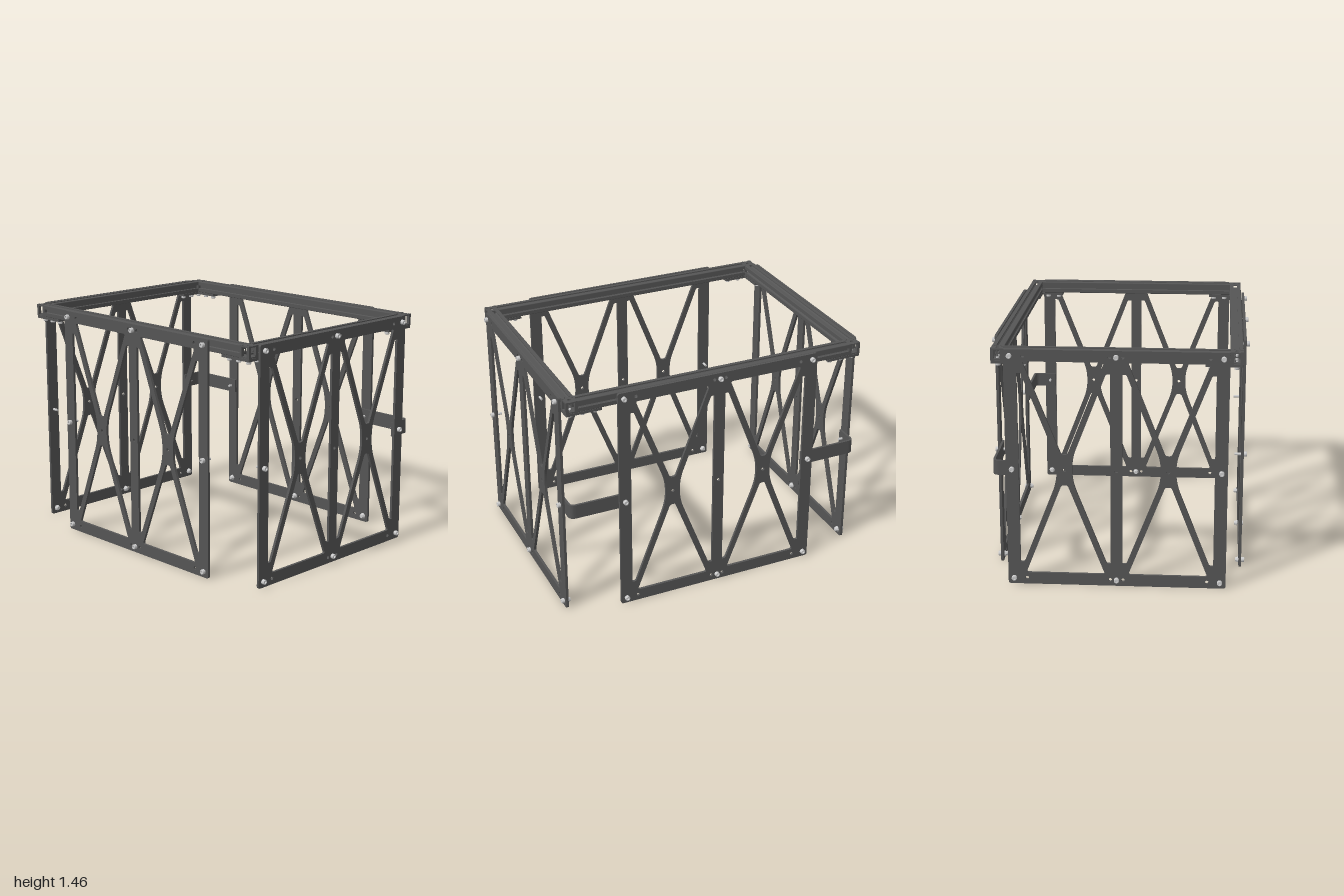
import * as THREE from 'three';

const dark = new THREE.MeshStandardMaterial({ color: 0x555555 });
const steel = new THREE.MeshStandardMaterial({ color: 0xcccccc });
const S = 0.074;                       // rail section size
const RAIL_Y = 1.42, CX = 0.925, CZ = 0.691;

function add(parent, name, geometry, material = dark, x = 0, y = 0, z = 0) {
  const mesh = new THREE.Mesh(geometry, material);
  mesh.name = name;
  mesh.position.set(x, y, z);
  parent.add(mesh);
  return mesh;
}

// Closed outline with softened corners; each point is [x, y, trim]
function outline(points, Type = THREE.Path) {
  const path = new Type();
  const v = points.map(p => new THREE.Vector2(p[0], p[1]));
  const n = v.length;
  v.forEach((c, i) => {
    const t = points[i][2] || 0;
    const toward = q => q.clone().sub(c).setLength(t).add(c);
    const a = toward(v[(i + n - 1) % n]), b = toward(v[(i + 1) % n]);
    if (i === 0) path.moveTo(a.x, a.y); else path.lineTo(a.x, a.y);
    if (t) path.quadraticCurveTo(c.x, c.y, b.x, b.y);
  });
  path.closePath();
  return path;
}

const circle = (x, y, r) => new THREE.Path().absarc(x, y, r, 0, Math.PI * 2, true);
const extrude = (shape, depth) =>
  new THREE.ExtrudeGeometry(shape, { depth, bevelEnabled: false, curveSegments: 8 });

// Socket-head bolt pointing along +z, seated at z = 0
function boltGeometry(shank) {
  const profile = [[0, -shank], [0.008, -shank], [0.008, 0], [0.0155, 0], [0.0155, 0.017],
    [0.0135, 0.02], [0.008, 0.02], [0.008, 0.01], [0, 0.01]];
  const pts = [];
  profile.forEach(([x, y], i) => {      // doubled points keep the edges sharp
    pts.push(new THREE.Vector2(x, y));
    if (i && i < profile.length - 1) pts.push(new THREE.Vector2(x, y));
  });
  return new THREE.LatheGeometry(pts, 16).rotateX(Math.PI / 2);
}
const shortBolt = boltGeometry(0.025), longBolt = boltGeometry(0.055);
const nutGeometry = new THREE.CylinderGeometry(0.02, 0.012, 0.02, 8).toNonIndexed().rotateX(Math.PI / 2);
nutGeometry.computeVertexNormals();

// Cross-braced panel in the XY plane, inner face at z = 0, outside toward +z
function panelGeometry() {
  const w = 0.653, h = 1.457, mid = 0.73;
  const shape = outline([[-w, 0, 0.015], [w, 0, 0.015], [w, h, 0.015], [-w, h, 0.015]], THREE.Shape);
  for (const cx of [-0.306, 0.306]) {
    for (const s of [-1, 1]) {
      const Y = d => mid + s * d;
      // openings above and below the brace centre
      shape.holes.push(outline([[cx - 0.237, Y(0.657), 0.016], [cx + 0.237, Y(0.657), 0.016],
        [cx + 0.018, Y(0.095), 0.013], [cx - 0.018, Y(0.095), 0.013]]));
      // openings beside the brace centre
      const X = d => cx + s * d;
      shape.holes.push(outline([[X(0.271), mid + 0.588, 0.004], [X(0.247), mid + 0.588, 0.011],
        [X(0.046), mid + 0.07, 0.066], [X(0.046), mid - 0.07, 0.066],
        [X(0.247), mid - 0.588, 0.011], [X(0.271), mid - 0.588, 0.004]]));
    }
    shape.holes.push(circle(cx, mid, 0.011));
  }
  shape.holes.push(circle(0, mid, 0.011));
  for (const y of [0.038, RAIL_Y])
    for (const x of [-0.54, -0.038, 0.038, 0.54]) shape.holes.push(circle(x, y, 0.011));
  return extrude(shape, 0.016);
}

// Slotted rail section with a bored core
function railShape() {
  const quarter = [[0.011, S / 2], [0.011, 0.03], [0.02, 0.03], [0.02, 0.0255], [0.0105, 0.016]];
  const side = [...quarter.map(([x, y]) => [-x, y]), ...quarter.slice().reverse()];
  const pts = [];
  for (let k = 0; k < 4; k++) {
    const c = Math.cos(-k * Math.PI / 2), s = Math.sin(-k * Math.PI / 2);
    const turn = ([x, y], t) => [x * c - y * s, x * s + y * c, t];
    side.forEach(p => pts.push(turn(p, 0)));
    pts.push(turn([S / 2, S / 2], 0.005));
  }
  const shape = outline(pts, THREE.Shape);
  shape.holes.push(circle(0, 0, 0.009));
  return shape;
}

// Open corner cube: four posts between bored plates
function cornerCube() {
  const group = new THREE.Group();
  group.name = 'cornerCube';
  const a = S / 2, p = 0.018;
  for (const x of [-1, 1]) for (const z of [-1, 1])
    add(group, 'cornerPost', new THREE.BoxGeometry(p, S, p), dark, x * (a - p / 2), 0, z * (a - p / 2));
  const plate = outline([[-a, -a], [a, -a], [a, a], [-a, a]], THREE.Shape);
  plate.holes.push(circle(0, 0, 0.011));
  const g = extrude(plate, 0.008).rotateX(-Math.PI / 2);
  add(group, 'topPlate', g, dark, 0, a - 0.01, 0);
  add(group, 'bottomPlate', g, dark, 0, -a + 0.002, 0);
  return group;
}

export function createModel() {
  const model = new THREE.Group();
  model.name = 'panelFrame';

  // Four panels with their bolts and nuts
  const panelGeo = panelGeometry();
  [['frontPanel', 0], ['leftPanel', 1], ['backPanel', 2], ['rightPanel', 3]].forEach(([name, k]) => {
    const panel = new THREE.Group();
    panel.name = name;
    const d = k % 2 ? 0.964 : 0.733, angle = k * Math.PI / 2;
    panel.position.set(Math.sin(angle) * d, 0, Math.cos(angle) * d);
    panel.rotation.y = angle;
    add(panel, 'bracedSheet', panelGeo);
    for (const x of [-0.617, 0, 0.617]) for (const y of [0.038, 0.73, RAIL_Y]) {
      if (x === 0 && y === 0.73) continue;
      add(panel, 'bolt', y === 0.73 ? longBolt : shortBolt, steel, x, y, 0.016);
      if (y < 0.1) add(panel, 'nut', nutGeometry, steel, x, y, -0.012);
    }
    model.add(panel);
  });

  // Top rails
  const section = railShape();
  const lx = 2 * (CX - S / 2), lz = 2 * (CZ - S / 2);
  const railX = extrude(section, lx).translate(0, 0, -lx / 2).rotateY(Math.PI / 2);
  const railZ = extrude(section, lz).translate(0, 0, -lz / 2);
  for (const s of [-1, 1]) {
    add(model, s > 0 ? 'frontRail' : 'backRail', railX, dark, 0, RAIL_Y, s * CZ);
    add(model, s > 0 ? 'leftRail' : 'rightRail', railZ, dark, s * CX, RAIL_Y, 0);
  }

  // Corner cubes, and angle plates bolted under the rails
  const underBolt = boltGeometry(0.03).rotateX(Math.PI / 2);
  for (const sx of [-1, 1]) for (const sz of [-1, 1]) {
    const cube = cornerCube();
    cube.position.set(sx * CX, RAIL_Y, sz * CZ);
    model.add(cube);
    const L = [[0.962, 0.728], [0.962, 0.51], [0.888, 0.51], [0.888, 0.654], [0.74, 0.654], [0.74, 0.728]];
    const plate = outline(L.map(([x, z]) => [sx * x, -sz * z, 0.008]), THREE.Shape);
    add(model, 'anglePlate', extrude(plate, 0.016).rotateX(-Math.PI / 2), dark, 0, 1.367, 0);
    for (const [x, z] of [[CX, CZ], [0.848, CZ], [0.773, CZ], [CX, 0.617], [CX, 0.543]])
      add(model, 'plateBolt', underBolt, steel, sx * x, 1.367, sz * z);
  }

  // Bent straps tying the back panel to the side panels
  for (const sx of [-1, 1]) {
    const L = [[0.58, 0.733], [0.964, 0.733, 0.04], [0.964, 0.58], [0.95, 0.58], [0.95, 0.719, 0.026], [0.58, 0.719]];
    const strap = outline(L.map(([x, y, t]) => [sx * x, y, t]), THREE.Shape);
    add(model, 'cornerStrap', extrude(strap, 0.09).rotateX(-Math.PI / 2), dark, 0, 0.686, 0);
  }
  return model;
}
